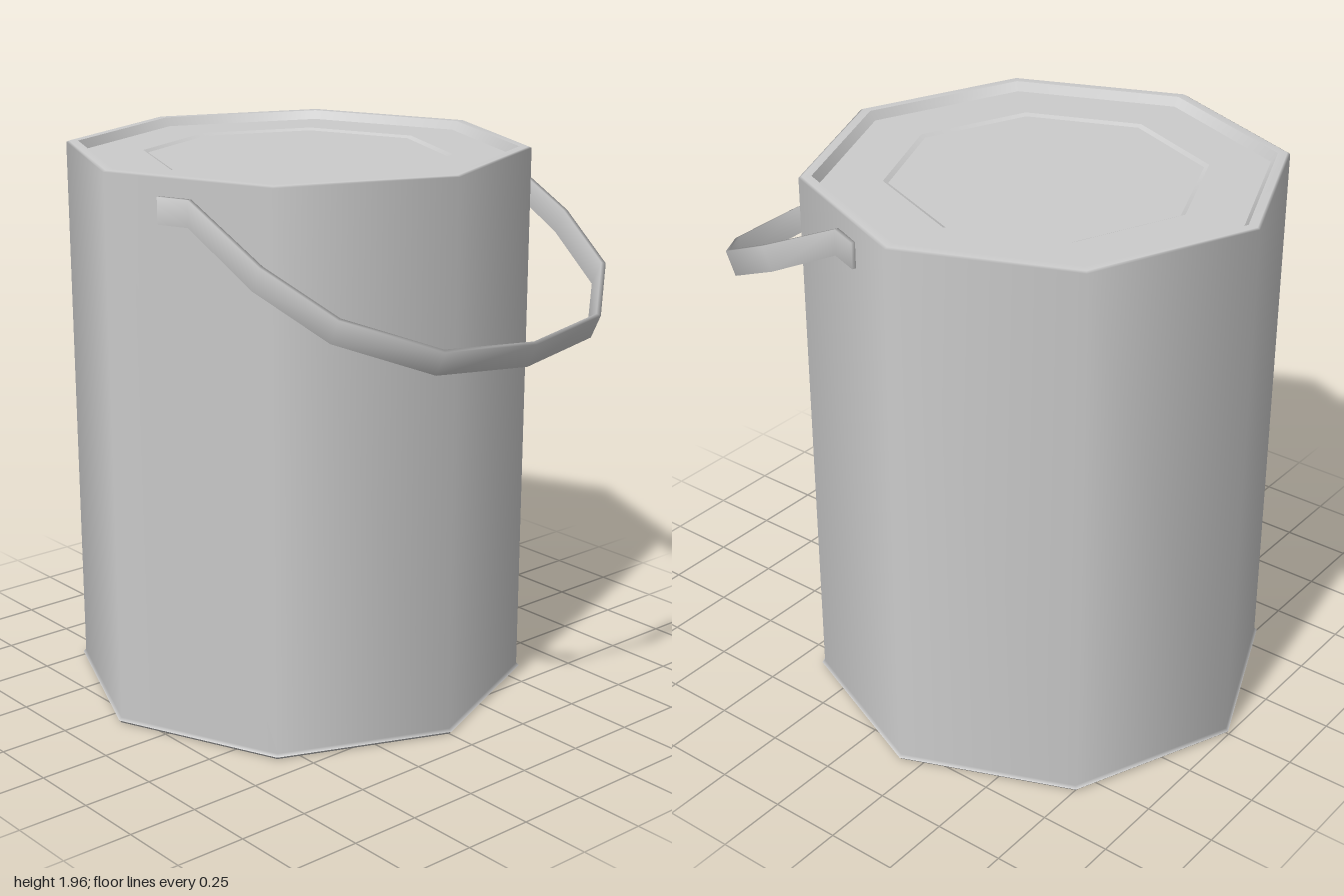
import * as THREE from 'three';

const SIDES = 8;
const CENTRE_Z = -0.175;
const grey = () => new THREE.MeshStandardMaterial({ color: 0xcccccc });

// Octagonal turned part; the profile runs from underneath, outwards and up
function turned(name, profile) {
  const points = profile.map(([r, y]) => new THREE.Vector2(r, y));
  const mesh = new THREE.Mesh(new THREE.LatheGeometry(points, SIDES), grey());
  mesh.name = name;
  mesh.position.z = CENTRE_Z;
  return mesh;
}

// Flat strap swept through the handle points, with its broad side facing out
function strap(path, widthAt, width, thickness) {
  const positions = [], index = [];
  path.forEach((p, i) => {
    const before = path[Math.max(i - 1, 0)];
    const after = path[Math.min(i + 1, path.length - 1)];
    const tangent = after.clone().sub(before).normalize();
    const across = widthAt(i);
    const out = new THREE.Vector3().crossVectors(across, tangent).normalize();
    for (const [o, w] of [[1, -1], [1, 1], [-1, 1], [-1, -1]]) {
      const v = p.clone()
        .addScaledVector(out, o * thickness / 2)
        .addScaledVector(across, w * width / 2);
      positions.push(v.x, v.y, v.z);
    }
  });
  for (let i = 0; i < path.length - 1; i++) {
    for (let k = 0; k < 4; k++) {
      const a = i * 4 + k, b = i * 4 + (k + 1) % 4;
      index.push(a, b, a + 4, b, b + 4, a + 4);
    }
  }
  const e = (path.length - 1) * 4;
  index.push(0, 2, 1, 0, 3, 2, e, e + 1, e + 2, e, e + 2, e + 3);
  const geometry = new THREE.BufferGeometry();
  geometry.setAttribute('position', new THREE.Float32BufferAttribute(positions, 3));
  geometry.setIndex(index);
  geometry.computeVertexNormals();
  return geometry;
}

export function createModel() {
  const group = new THREE.Group();
  group.name = 'can';

  // Can: base with bead, wall running softly into the rim, and recessed lid
  group.add(
    turned('base', [[0, 0], [0.812, 0], [0.822, 0.01]]),
    turned('wallAndRim', [[0.822, 0.01], [0.812, 0.02], [0.812, 1.95], [0.802, 1.955], [0.77, 1.955]]),
    turned('rimInside', [[0.77, 1.955], [0.748, 1.925]]),
    turned('lidBorder', [[0.748, 1.925], [0.54, 1.925]]),
    turned('lidStep', [[0.54, 1.925], [0.523, 1.917]]),
    turned('lidCentre', [[0.523, 1.917], [0, 1.917]]),
  );

  // Handle: upright tabs at both ends, the loop hanging forward and down
  const slope = 0.487;
  const half = [[0.737, 0.02], [0.695, 0.13], [0.68, 0.45], [0.59, 0.715], [0.345, 0.92], [0, 0.97]];
  const full = [...half, ...half.slice(0, -1).reverse().map(([x, z]) => [-x, z])];
  const path = full.map(([x, z]) =>
    new THREE.Vector3(x, 1.845 - Math.max(0, z - 0.13) * slope, z));
  const upright = new THREE.Vector3(0, 1, 0);
  const tilted = new THREE.Vector3(0, 1, slope).normalize();
  const widthAt = (i) => (i < 2 || i > path.length - 3 ? upright : tilted);
  const handle = new THREE.Mesh(strap(path, widthAt, 0.09, 0.016), grey());
  handle.name = 'handle';
  group.add(handle);

  return group;
}
